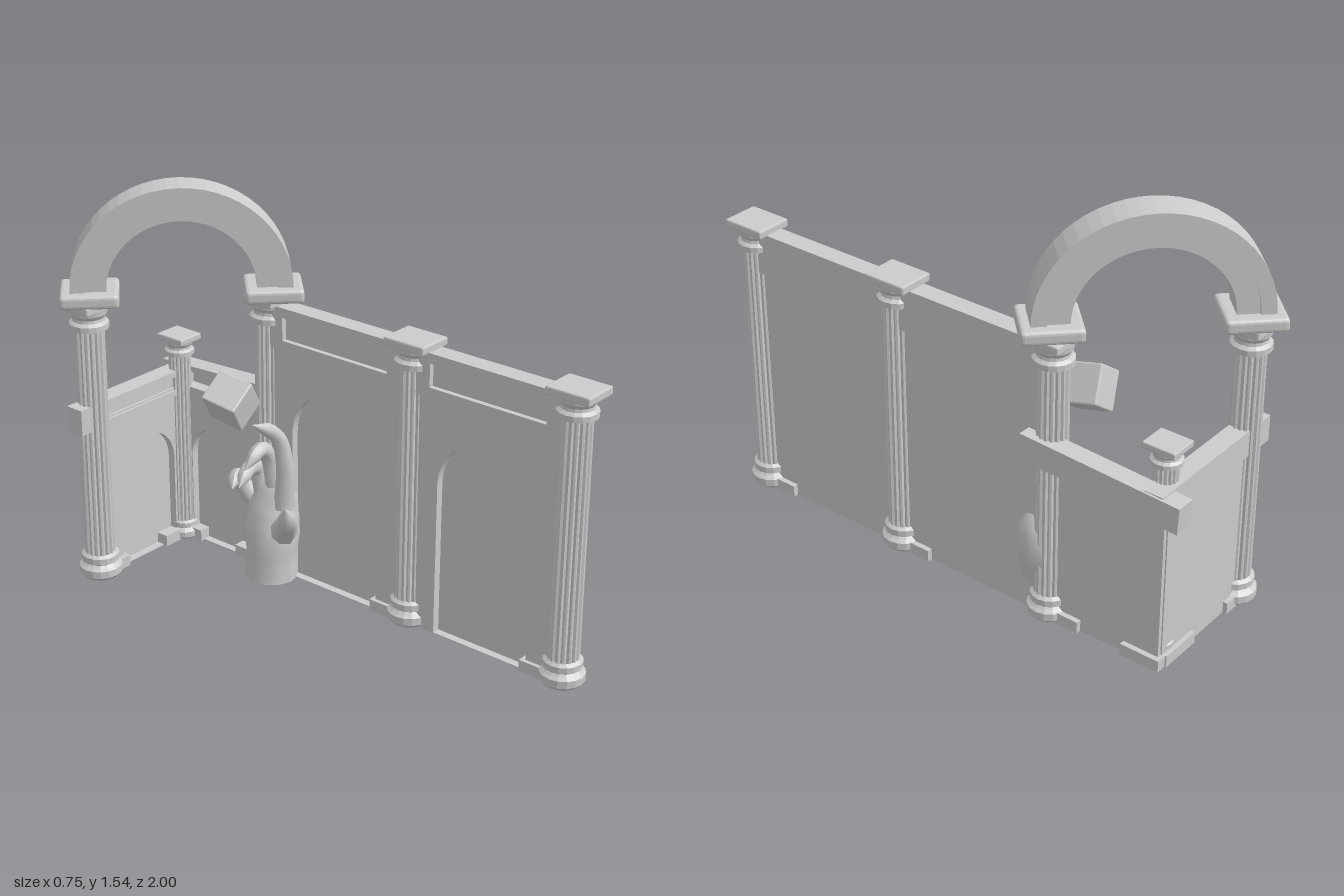
import * as THREE from 'three';
import { RoundedBoxGeometry } from 'three/addons/geometries/RoundedBoxGeometry.js';

const flat = new THREE.MeshStandardMaterial({ color: 0xcccccc, flatShading: true });
const smooth = new THREE.MeshStandardMaterial({ color: 0xcccccc, side: THREE.DoubleSide });
const V = (p) => new THREE.Vector3(...p);

function add(parent, name, geometry, pos = [0, 0, 0], material = flat) {
  const m = new THREE.Mesh(geometry, material);
  m.name = name;
  m.position.set(...pos);
  parent.add(m);
  return m;
}
const box = (w, h, d) => new THREE.BoxGeometry(w, h, d);
const lathe = (pts) => new THREE.LatheGeometry(pts.map((p) => new THREE.Vector2(...p)), 16);

function group(parent, name, pos, rotY = 0) {
  const g = new THREE.Group();
  g.name = name;
  g.position.set(...pos);
  g.rotation.y = rotY;
  parent.add(g);
  return g;
}

// Fluted column with moulded base, capital and square abacus
function column(parent, name, x, z, scale = 1, capDepth = 0.17) {
  const g = group(parent, name, [x, 0, z]);
  g.scale.setScalar(scale);
  add(g, 'columnBase', lathe([[0, 0], [0.068, 0], [0.082, 0.015], [0.082, 0.043], [0.07, 0.052],
    [0.062, 0.06], [0.071, 0.066], [0.071, 0.09], [0.057, 0.1]]));
  const shaft = new THREE.CylinderGeometry(1, 1, 0.92, 48, 1, true);
  const p = shaft.attributes.position;
  for (let i = 0; i < p.count; i++) {
    const flute = (i % 49) % 3 === 0 ? 0.05 : 0.057;
    const r = flute * (p.getY(i) > 0 ? 0.97 : 1.02);
    p.setXYZ(i, p.getX(i) * r, p.getY(i), p.getZ(i) * r);
  }
  shaft.computeVertexNormals();
  add(g, 'columnShaft', shaft, [0, 0.55, 0]);
  add(g, 'columnCapital', lathe([[0.053, 0.995], [0.073, 1.003], [0.073, 1.024], [0.06, 1.034],
    [0.058, 1.045], [0.068, 1.06], [0.07, 1.08], [0, 1.08]]));
  add(g, 'columnAbacus', new RoundedBoxGeometry(0.143, 0.032, capDepth, 1, 0.006), [0, 1.089, 0]);
}

// Plate in the xy plane with one hole, thickness d centred on z
function plate(w, y0, y1, d, hole) {
  const s = new THREE.Shape([[-w / 2, y0], [w / 2, y0], [w / 2, y1], [-w / 2, y1]]
    .map((q) => new THREE.Vector2(...q)));
  s.holes.push(hole);
  const g = new THREE.ExtrudeGeometry(s, { depth: d, bevelEnabled: false, curveSegments: 14 });
  return g.translate(0, 0, -d / 2);
}

// Wall bay with an arched niche on its +z face
function wallBay(parent, name, w, h, r, top, pos, rotY) {
  const g = group(parent, name, pos, rotY);
  const niche = new THREE.Path();
  niche.moveTo(-r, 0.004);
  niche.lineTo(-r, top - r);
  niche.absarc(0, top - r, r, Math.PI, 0, true);
  niche.lineTo(r, 0.004);
  niche.closePath();
  add(g, 'nicheFrame', plate(w, 0, h, 0.03, niche), [0, 0, 0.015]);
  add(g, 'wallPanel', box(w, h, 0.025), [0, h / 2, -0.0125]);
  return g;
}

// Beam with a long sunk panel on its +z face
function beam(parent, name, w, h, pos, rotY) {
  const g = group(parent, name, pos, rotY);
  const a = w * 0.36, b = h * 0.27;
  const hole = new THREE.Path([[-a, -b], [-a, b], [a, b], [a, -b]].map((q) => new THREE.Vector2(...q)));
  add(g, 'beamFrame', plate(w, -h / 2, h / 2, 0.02, hole), [0, 0, 0.027]);
  add(g, 'beamCore', box(w, h, 0.055), [0, 0, -0.01]);
  return g;
}

// Round limb along a curve, radius interpolated from a short list
function limb(parent, name, pts, radii, sides = 8) {
  const curve = new THREE.CatmullRomCurve3(pts.map(V));
  const n = 16;
  const g = new THREE.TubeGeometry(curve, n, 1, sides);
  const p = g.attributes.position, v = new THREE.Vector3();
  for (let i = 0; i < p.count; i++) {
    const u = Math.floor(i / (sides + 1)) / n;
    const c = curve.getPointAt(u), t = u * (radii.length - 1);
    const k = Math.min(Math.floor(t), radii.length - 2);
    const r = THREE.MathUtils.lerp(radii[k], radii[k + 1], t - k);
    v.fromBufferAttribute(p, i).sub(c).multiplyScalar(r).add(c);
    p.setXYZ(i, v.x, v.y, v.z);
  }
  g.computeVertexNormals();
  return add(parent, name, g, [0, 0, 0], smooth);
}

// Half ring for the arch
function halfRing(ri, ro, d) {
  const s = new THREE.Shape();
  s.absarc(0, 0, ro, 0, Math.PI, false);
  s.absarc(0, 0, ri, Math.PI, 0, true);
  s.closePath();
  return new THREE.ExtrudeGeometry(s, { depth: d, bevelEnabled: false, curveSegments: 14 })
    .translate(0, 0, -d / 2);
}

export function createModel() {
  const model = new THREE.Group();
  model.name = 'ruinedColonnade';
  const wx = 0.24, zs = [0.914, 0.25, -0.415], side = -Math.PI / 2;

  // Columns
  zs.forEach((z, i) => column(model, 'column' + (i + 1), wx, z, 1, i < 2 ? 0.172 : 0.135));
  column(model, 'archColumnRight', -0.238, -0.86, 1, 0.135);
  column(model, 'cornerColumn', 0.203, -0.842, 0.77, 0.165);

  // Tall side wall: two bays with entablatures
  for (const z of [0.582, -0.083]) {
    wallBay(model, 'tallWall', 0.665, 0.93, 0.2, 0.79, [wx, 0, z], side);
    beam(model, 'entablature', 0.665, 0.163, [wx, 0.9965, z], side);
  }

  // Low walls round the corner, with their beams
  wallBay(model, 'lowSideWall', 0.47, 0.64, 0.145, 0.5, [wx, 0, -0.65], side);
  wallBay(model, 'lowBackWall', 0.49, 0.64, 0.145, 0.5, [0.005, 0, -0.865], 0);
  beam(model, 'backBeam', 0.635, 0.1, [-0.012, 0.66, -0.863], 0);
  const fallen = beam(model, 'tiltedBeam', 0.635, 0.1, [0.277, 0.667, -0.65], side);
  fallen.rotation.z = 0.05;

  // Plinth blocks beside the columns
  for (const z of zs) add(model, 'plinthBlock', box(0.09, 0.045, 0.15), [wx, 0.0225, z - 0.075]);
  add(model, 'plinthBlock', box(0.09, 0.045, 0.155), [wx, 0.0225, -0.823]);
  add(model, 'plinthBlock', box(0.17, 0.045, 0.09), [0.16, 0.0225, -0.862]);
  add(model, 'plinthBlock', box(0.15, 0.045, 0.09), [-0.2, 0.0225, -0.862]);

  // Diagonal arch on two square impost blocks
  const arch = group(model, 'arch', [0, 1.155, -0.622], -Math.PI / 4);
  for (const s of [-1, 1]) {
    add(arch, 'impostBlock', new RoundedBoxGeometry(0.212, 0.052, 0.207, 2, 0.015), [s * 0.329, -0.026, 0]);
  }
  for (const [name, ri, ro, d] of [['archOuterBand', 0.345, 0.398, 0.131], ['archInnerBand', 0.268, 0.35, 0.112]]) {
    add(arch, name, halfRing(ri, ro, d)).scale.y = 0.95;
  }

  // Hand rising from the ground through the wall
  const hand = group(model, 'hand', [0, 0, 0]);
  limb(hand, 'palm', [[0.172, 0, -0.36], [0.178, 0.14, -0.36], [0.21, 0.26, -0.37], [0.225, 0.36, -0.35], [0.225, 0.44, -0.35]],
    [0.1, 0.096, 0.105, 0.103, 0.075, 0], 12);
  add(hand, 'wristEnd', new THREE.CircleGeometry(0.1, 12).rotateX(Math.PI / 2), [0.172, 0.001, -0.36]);
  const taper = [0.04, 0.037, 0.034, 0.031, 0.029, 0.026, 0];
  limb(hand, 'thumb', [[0.17, 0.2, -0.3], [0.11, 0.27, -0.23], [0.06, 0.32, -0.18], [0.015, 0.4, -0.15]],
    [0.055, 0.05, 0.045, 0.04, 0.036, 0.03, 0]);
  const fingers = {
    indexFinger: [[0.18, 0.3, -0.3], [0.175, 0.47, -0.29], [0.145, 0.6, -0.3], [0.03, 0.68, -0.32]],
    middleFinger: [[0.2, 0.32, -0.35], [0.18, 0.48, -0.37], [0.12, 0.54, -0.36], [0.02, 0.49, -0.35]],
    ringFinger: [[0.2, 0.3, -0.41], [0.18, 0.42, -0.43], [0.11, 0.45, -0.41], [0.02, 0.41, -0.38]],
    littleFinger: [[0.21, 0.25, -0.44], [0.17, 0.34, -0.5], [0.13, 0.39, -0.49], [0.06, 0.37, -0.45]],
  };
  for (const [name, pts] of Object.entries(fingers)) limb(hand, name, pts, taper);

  // Tumbling cube above the hand
  const cube = add(model, 'floatingCube', new RoundedBoxGeometry(0.13, 0.145, 0.14, 1, 0.006), [-0.015, 0.775, -0.378]);
  cube.rotation.set(0.2, 0.15, 0.62);
  return model;
}
